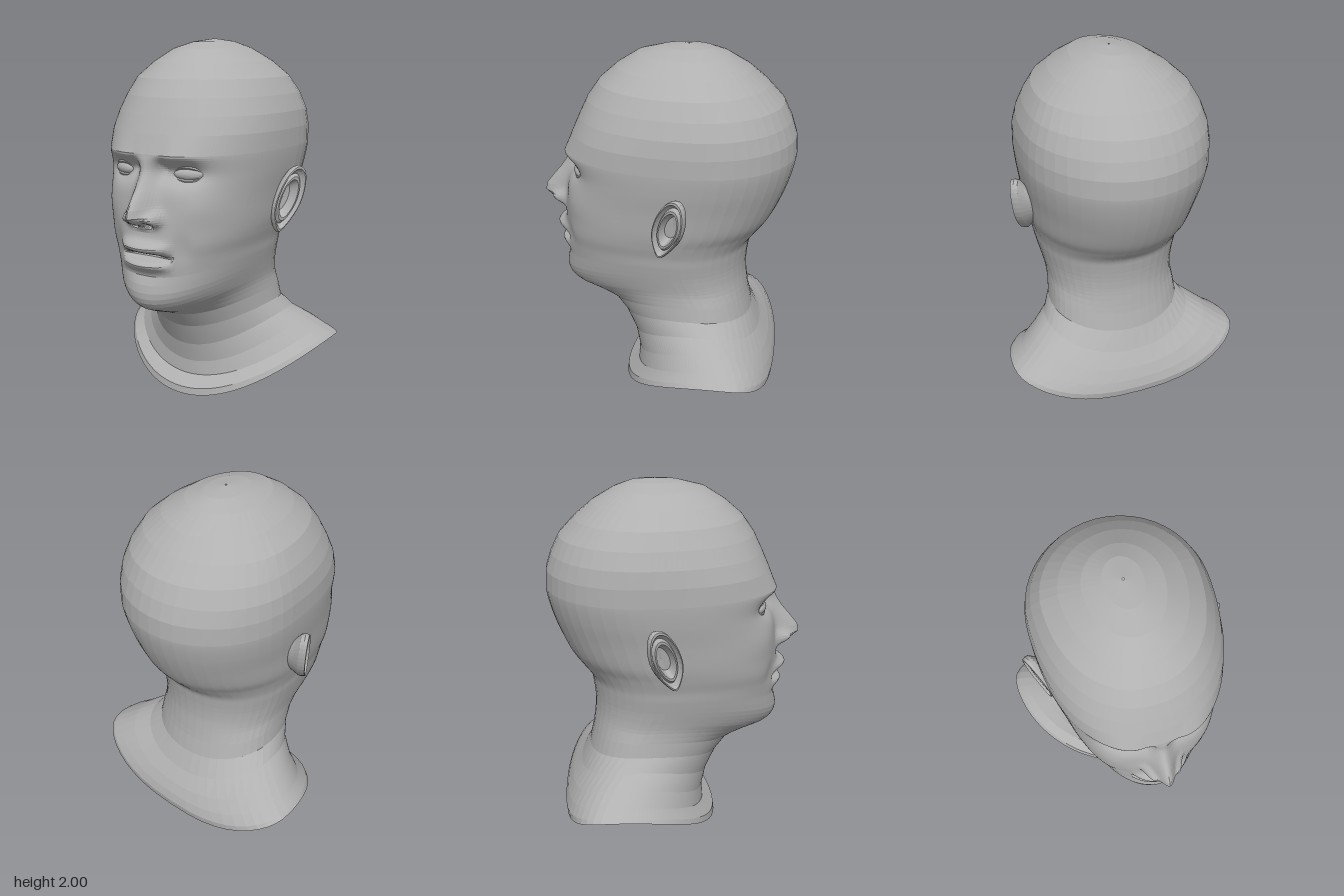
import * as THREE from 'three';

const skin = new THREE.MeshStandardMaterial({ color: 0xb0b0b0, flatShading: true, side: THREE.DoubleSide });
skin.name = 'skin';

// Closed-loop skin over rows of points that run counter-clockwise, bottom to top.
function loft(rows) {
  const n = rows[0].length, pos = rows.flat(2), idx = [];
  for (let r = 0; r < rows.length - 1; r++) {
    for (let c = 0; c < n; c++) {
      const d = (c + 1) % n, a = r * n, b = a + n;
      idx.push(a + c, a + d, b + d, a + c, b + d, b + c);
    }
  }
  const g = new THREE.BufferGeometry();
  g.setAttribute('position', new THREE.Float32BufferAttribute(pos, 3));
  g.setIndex(idx);
  g.computeVertexNormals();
  return g;
}

function mesh(name, geometry) {
  const m = new THREE.Mesh(geometry, skin);
  m.name = name;
  return m;
}

// Head and neck sections: y front, y side, y back, z front, z back, half width, z of widest point, roundness front, back
const S = [
  [0.00, 0.295, 0.13, 0.23, -0.655, 0.665, -0.39, 2, 2.5],
  [0.04, 0.31, 0.17, 0.225, -0.66, 0.645, -0.38, 2, 2.5],
  [0.10, 0.345, 0.22, 0.16, -0.645, 0.59, -0.36, 2, 2.4],
  [0.18, 0.40, 0.28, 0.155, -0.615, 0.51, -0.32, 2, 2.3],
  [0.29, 0.455, 0.36, 0.18, -0.56, 0.42, -0.26, 2, 2.2],
  [0.42, 0.52, 0.47, 0.24, -0.508, 0.37, -0.2, 2, 2.1],
  [0.51, 0.60, 0.57, 0.31, -0.485, 0.36, -0.18, 2, 2.1],
  [0.56, 0.66, 0.65, 0.44, -0.473, 0.355, -0.14, 1.9, 2.1],
  [0.595, 0.70, 0.71, 0.53, -0.466, 0.358, -0.12, 1.95, 2.1],
  [0.64, 0.74, 0.75, 0.575, -0.465, 0.365, -0.1, 2, 2.1],
  [0.70, 0.79, 0.80, 0.585, -0.467, 0.375, -0.08, 2.1, 2.1],
  [0.79, 0.86, 0.87, 0.572, -0.475, 0.39, -0.07, 2.2, 2.1],
  [0.88, 0.92, 0.93, 0.575, -0.49, 0.40, -0.07, 2.3, 2.1],
  [0.97, 0.99, 1.00, 0.575, -0.545, 0.42, -0.08, 2.4, 2],
  [1.07, 1.07, 1.08, 0.565, -0.60, 0.44, -0.12, 2.45, 2],
].concat([
  [1.20, 0.55, -0.655, 0.46, -0.15, 2.45],
  [1.32, 0.53, -0.695, 0.482, -0.18, 2.45],
  [1.43, 0.542, -0.716, 0.495, -0.2, 2.4],
  [1.53, 0.508, -0.71, 0.495, -0.2, 2.4],
  [1.62, 0.468, -0.68, 0.483, -0.2, 2.3],
  [1.71, 0.425, -0.635, 0.45, -0.19, 2.2],
  [1.80, 0.362, -0.55, 0.40, -0.17, 2.15],
  [1.88, 0.27, -0.455, 0.31, -0.15, 2.1],
  [1.95, 0.16, -0.34, 0.20, -0.12, 2],
  [1.985, 0.03, -0.25, 0.10, -0.12, 2],
  [2.00, -0.115, -0.125, 0.005, -0.12, 2],
].map(([y, ...s]) => [y, y, y, ...s, 2]));

// Catmull-Rom value of every section column between rows i and i + 1
function section(i, t) {
  const at = (k) => S[Math.min(Math.max(k, 0), S.length - 1)];
  return S[i].map((_, k) => {
    const [a, b, c, d] = [at(i - 1)[k], at(i)[k], at(i + 1)[k], at(i + 2)[k]];
    return b + 0.5 * t * (c - a + t * (2 * a - 5 * b + 4 * c - d + t * (3 * (b - c) + d - a)));
  });
}

const bump = (v, mid, s) => Math.exp(-(((v - mid) / s) ** 2));
const spot = (x, y, cx, cy, sx, sy) => bump(x, cx, sx) * bump(y, cy, sy);

// Nose ridge: y, height above the face, half width
const NOSE = [[1.03, 0, 0.06], [1.065, 0.025, 0.07], [1.085, 0.1, 0.068], [1.12, 0.147, 0.064], [1.16, 0.143, 0.058],
  [1.265, 0.075, 0.052], [1.35, 0.03, 0.05], [1.42, 0.005, 0.06], [1.46, 0, 0.06]];
function nose(x, y) {
  for (let i = 0; i < NOSE.length - 1; i++) {
    const [a, b] = [NOSE[i], NOSE[i + 1]];
    if (y >= a[0] && y < b[0]) {
      const t = (y - a[0]) / (b[0] - a[0]);
      return (a[1] + (b[1] - a[1]) * t) * bump(x, 0, a[2] + (b[2] - a[2]) * t);
    }
  }
  return 0;
}

// Forward relief of the face
function relief(px, y) {
  const x = Math.abs(px), lip = Math.max(0, 1 - (x / 0.165) ** 2);
  return nose(x, y)
    + 0.055 * spot(x, y, 0.08, 1.105, 0.03, 0.035)    // nostril wings
    - 0.05 * spot(x, y, 0.045, 1.073, 0.02, 0.014)    // nostrils
    - 0.055 * spot(x, y, 0.19, 1.335, 0.1, 0.055)     // eye sockets
    - 0.03 * spot(x, y, 0.085, 1.355, 0.035, 0.05)
    + 0.02 * spot(x, y, 0.19, 1.425, 0.12, 0.03)      // brows
    + 0.015 * spot(x, y, 0.29, 1.16, 0.09, 0.09)      // cheekbones
    - 0.015 * spot(x, y, 0.2, 0.95, 0.05, 0.08)
    + lip * (0.055 * bump(y, 0.95, 0.03) - 0.07 * bump(y, 0.894, 0.018) + 0.035 * bump(y, 0.852, 0.025))
    - 0.015 * spot(x, y, 0, 0.785, 0.12, 0.03);       // fold above the chin
}

function headGeometry() {
  // Fine columns over the face, broad ones round the back
  const half = [];
  for (let i = 0; i < 48; i++) half.push(Math.PI / 2 * (i / 48) ** 1.35);
  for (let i = 0; i <= 11; i++) half.push(Math.PI / 2 * (1 + i / 11));
  const angles = [...half.slice(1, -1).reverse().map((a) => -a), ...half];
  const rows = [];
  for (let i = 0; i < S.length - 1; i++) {
    const steps = i >= 11 && i <= 16 ? 10 : i >= 6 && i < 11 ? 2 : 1;
    for (let k = 0; k < steps; k++) rows.push(section(i, k / steps));
  }
  rows.push(S[S.length - 1]);
  return loft(rows.map(([yf, ys, yb, zf, zb, w, zs, nf, nb]) => angles.map((a) => {
    const c = Math.cos(a), s = Math.sin(a), front = c > 0, e = 2 / (front ? nf : nb);
    const x = w * Math.sign(s) * Math.abs(s) ** e;
    const y = ys + ((front ? yf : yb) - ys) * c * c;
    const z = zs + ((front ? zf : zb) - zs) * Math.abs(c) ** e;
    return [x, y, z + (z > 0.2 && y > 0.6 ? relief(x, y) : 0)];
  })));
}

// Ear rings: size, outward offset; from the back of the shell, over the rim, into the bowl
const EAR = [[0.5, -0.09], [0.75, -0.05], [0.97, -0.02], [1, 0], [0.97, 0.018], [0.9, 0.02], [0.83, 0.002],
  [0.75, -0.008], [0.66, 0.008], [0.57, 0.008], [0.48, -0.02], [0.38, -0.045], [0.01, -0.05]];
function earGeometry(side) {
  const seg = 32;
  return loft(EAR.map(([r, n]) => Array.from({ length: seg }, (_, i) => {
    const a = side * i / seg * Math.PI * 2;
    const v = 0.182 * r * Math.sin(a);
    const u = (v > 0 ? 0.09 : 0.09 - 0.045 * (v / 0.182) ** 2) * r * Math.cos(a);
    const x = 0.497 + 0.45 * u + 0.89 * n + 0.2 * v;
    return [side * x, 1.148 + v, -0.085 - 0.89 * u + 0.45 * n - 0.26 * v];
  })));
}

// Eyeball between two lids
function eye(side) {
  const g = new THREE.Group();
  g.name = side > 0 ? 'leftEye' : 'rightEye';
  const ball = mesh('eyeball', new THREE.SphereGeometry(1, 24, 16));
  ball.scale.set(0.083, 0.036, 0.04);
  g.add(ball);
  for (const [name, h] of [['upperLid', 0.036], ['lowerLid', -0.032]]) {
    const path = new THREE.CatmullRomCurve3([[-0.088, -0.006, 0], [-0.045, h * 0.85, 0.02], [0, h, 0.026], [0.045, h * 0.8, 0.018], [0.092, 0, -0.012]]
      .map(([x, y, z]) => new THREE.Vector3(side * x, y, z)));
    g.add(mesh(name, new THREE.TubeGeometry(path, 20, 0.009, 6)));
  }
  // Small hidden-corner blend: eyes follow the curve of the face
  g.position.set(side * 0.195, 1.332, 0.437);
  g.rotation.y = side * 0.28;
  return g;
}

export function createModel() {
  const model = new THREE.Group();
  model.name = 'headBust';
  model.add(mesh('headAndNeck', headGeometry()));
  for (const side of [1, -1]) {
    model.add(mesh(side > 0 ? 'leftEar' : 'rightEar', earGeometry(side)));
    model.add(eye(side));
  }
  return model;
}
